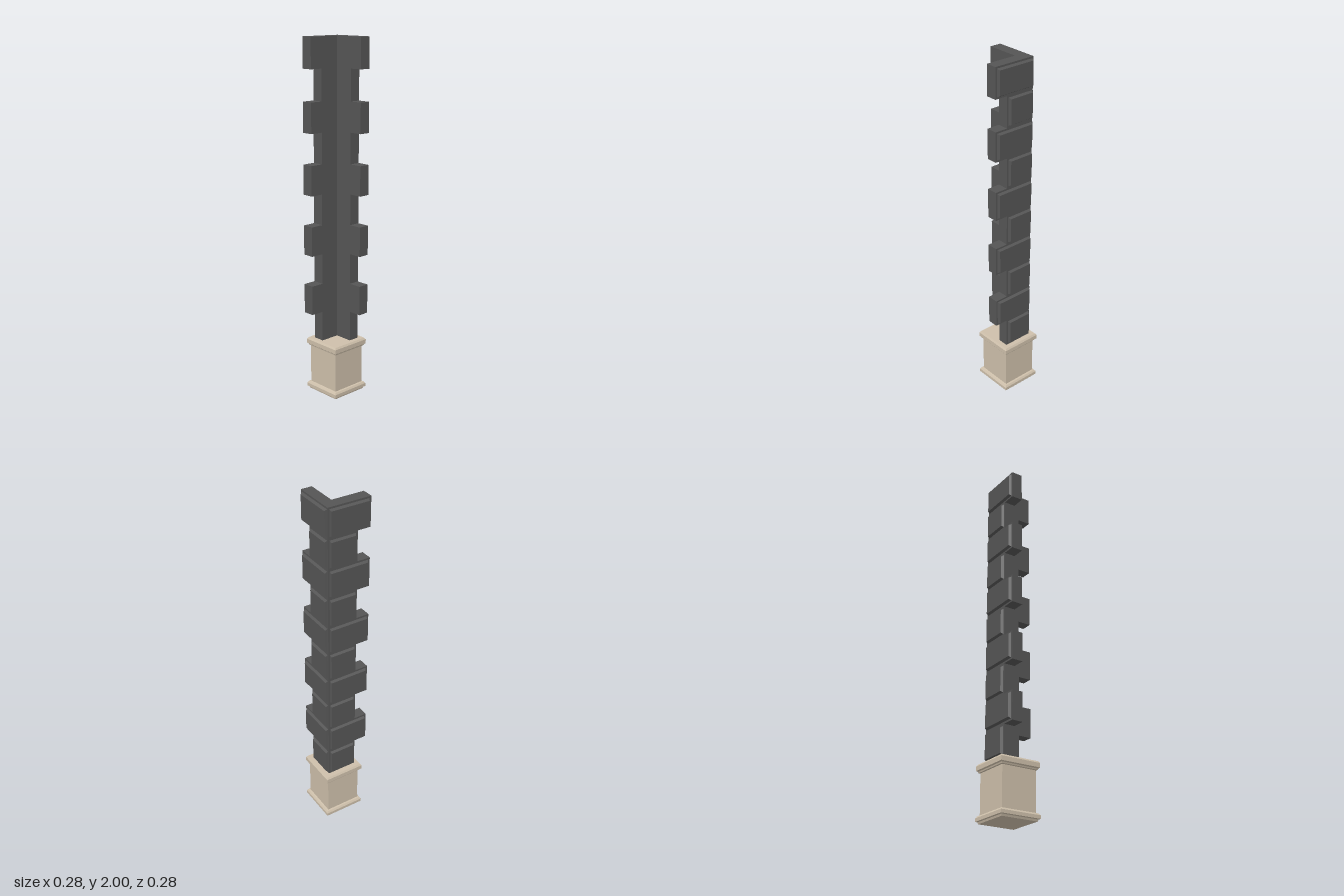
import * as THREE from 'three';

const stone = new THREE.MeshStandardMaterial({ color: 0x555555, flatShading: true });
const sand = new THREE.MeshStandardMaterial({ color: 0xcdbfaa, flatShading: true });

function addMesh(parent, name, geometry, material) {
  const mesh = new THREE.Mesh(geometry, material);
  mesh.name = name;
  parent.add(mesh);
  return mesh;
}

// Square moulding from a profile of [half width, y]
function squareLathe(profile) {
  const points = profile.map(([h, y]) => new THREE.Vector2(h * Math.SQRT2, y));
  return new THREE.LatheGeometry(points, 4, Math.PI / 4).toNonIndexed();
}

// L-shaped block with its outer corner at the back right
const X0 = -0.105, Z0 = -0.109, X1 = -0.04, Z1 = -0.047;
function cornerBlock(reach, bottom, top) {
  const shape = new THREE.Shape([
    [X0, Z0], [reach, Z0], [reach, Z1], [X1, Z1], [X1, reach], [X0, reach],
  ].map(([x, z]) => new THREE.Vector2(x, z)));
  const g = new THREE.ExtrudeGeometry(shape, { depth: top - bottom, bevelEnabled: false });
  return g.rotateX(Math.PI / 2).translate(0, top, 0);
}

// Raised panel facing +z: bevel is narrow at the corner end, wide elsewhere
function raisedPanel(length, height, cornerSide) {
  const g = new THREE.BoxGeometry(length, height, 0.013).translate(0, 0, 0.0065);
  const p = g.attributes.position;
  for (let i = 0; i < p.count; i++) {
    if (p.getZ(i) < 0.005) continue;
    const sx = Math.sign(p.getX(i));
    p.setX(i, p.getX(i) - sx * (sx === cornerSide ? 0.003 : 0.008));
    p.setY(i, p.getY(i) - Math.sign(p.getY(i)) * 0.008);
  }
  return g;
}

export function createModel() {
  const model = new THREE.Group();
  model.name = 'cornerQuoinColumn';

  // Pedestal with plinth and cap mouldings
  const pedestal = addMesh(model, 'pedestal', squareLathe([
    [0, 0], [0.108, 0], [0.111, 0.01], [0.119, 0.013], [0.119, 0.031],
    [0.112, 0.041], [0.1025, 0.043], [0.1025, 0.264], [0.11, 0.266],
    [0.112, 0.273], [0.119, 0.278], [0.119, 0.302], [0.112, 0.312], [0, 0.312],
  ]), sand);
  pedestal.position.set(-0.021, 0, -0.0235);

  // Alternating short and long quoin blocks
  let bottom = 0.312;
  for (let i = 0; i < 10; i++) {
    const long = i % 2 === 1;
    const height = long ? 0.166 : 0.1716;
    const reach = long ? 0.14 : 0.065;
    const block = new THREE.Group();
    block.name = long ? 'longQuoin' : 'shortQuoin';
    model.add(block);
    addMesh(block, 'cornerBlock', cornerBlock(reach, bottom, bottom + height), stone);

    const y = bottom + height / 2;
    const start = -0.099, end = reach - 0.01;
    const length = end - start, middle = (start + end) / 2;
    const back = addMesh(block, 'backPanel', raisedPanel(length, height - 0.02, 1), stone);
    back.rotation.y = Math.PI;
    back.position.set(middle, y, Z0);
    const side = addMesh(block, 'sidePanel', raisedPanel(length, height - 0.02, -1), stone);
    side.rotation.y = -Math.PI / 2;
    side.position.set(X0, y, middle);
    bottom += height;
  }
  return model;
}
